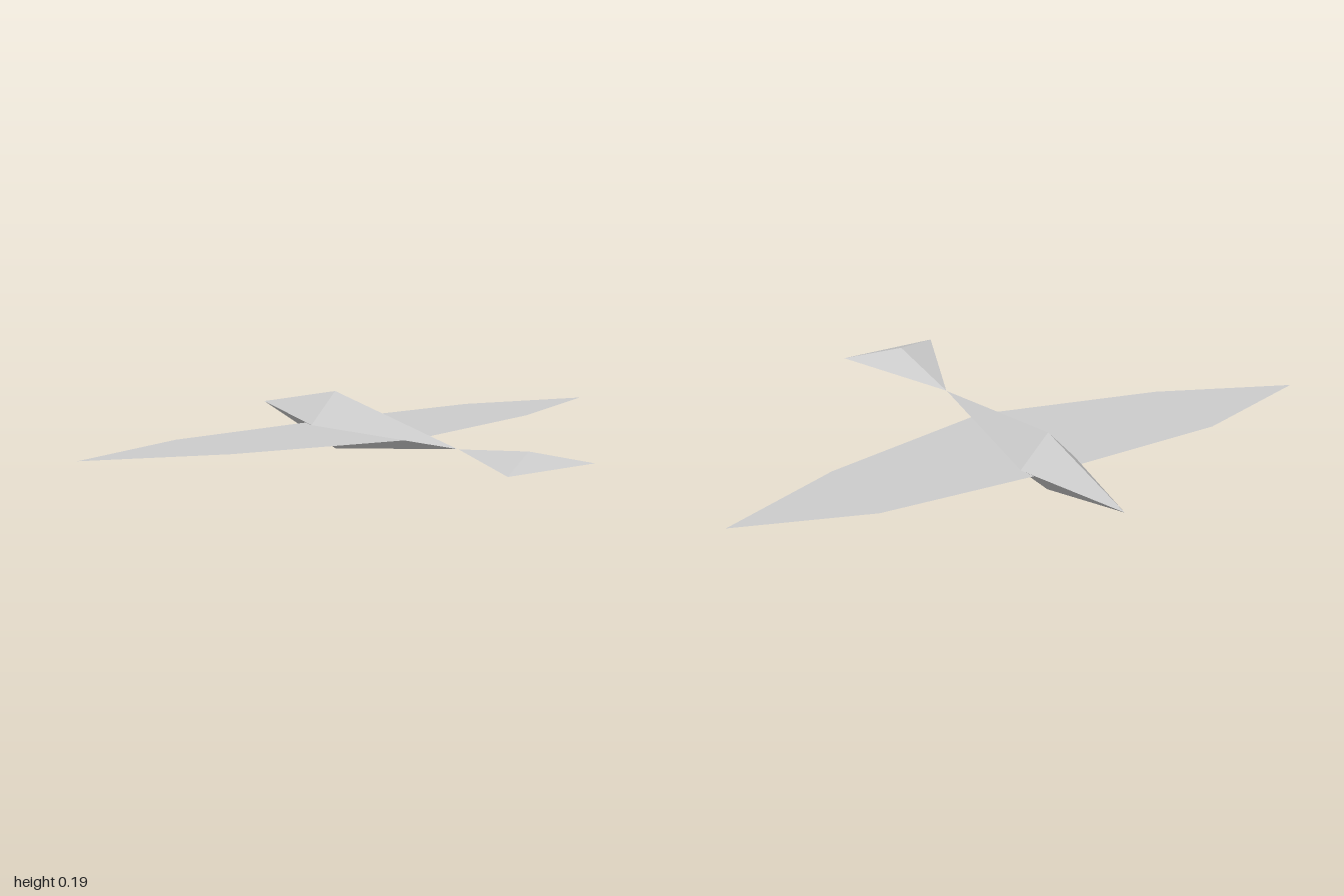
import * as THREE from 'three';

// Faceted solid: a ring of points joined to a tip on each side.
// The ring runs counter-clockwise as seen from tipA.
function doublePyramid(ring, tipA, tipB) {
  const pos = [];
  ring.forEach((p, i) => {
    const q = ring[(i + 1) % ring.length];
    pos.push(...p, ...q, ...tipA, ...q, ...p, ...tipB);
  });
  const geo = new THREE.BufferGeometry();
  geo.setAttribute('position', new THREE.Float32BufferAttribute(pos, 3));
  geo.computeVertexNormals();
  return geo;
}

export function createModel() {
  const model = new THREE.Group();
  model.name = 'bird';
  const grey = new THREE.MeshStandardMaterial({ color: 0xcccccc, flatShading: true, side: THREE.DoubleSide });
  grey.name = 'light grey';
  const add = (name, geo) => {
    const mesh = new THREE.Mesh(geo, grey);
    mesh.name = name;
    model.add(mesh);
  };
  const mid = 0.087; // height of the wing and tail plane

  // Body: a long diamond, widest near the head, pointing to -z
  const widest = -0.315;
  add('body', doublePyramid(
    [[0.095, mid, widest], [0, 0.19, widest], [-0.095, mid, widest], [0, 0, widest]],
    [0, mid, 0.31], [0, 0.106, -0.73]));

  // Wings: one flat sheet each, mirrored (outline in x, -z)
  for (const [name, s] of [['leftWing', 1], ['rightWing', -1]]) {
    const outline = [[0, -0.1], [0.585, 0.037], [1, 0.215], [0.585, 0.35], [0, 0.372]];
    const shape = new THREE.Shape(outline.map(([x, y]) => new THREE.Vector2(s * x, y)));
    add(name, new THREE.ShapeGeometry(shape).rotateX(-Math.PI / 2).translate(0, mid, 0));
  }

  // Tail: flat triangle below, raised to a ridge above
  add('tail', doublePyramid(
    [[0, mid, 0.315], [-0.167, mid, 0.73], [0.167, mid, 0.73]],
    [0, 0.126, 0.63], [0, mid, 0.6]));

  return model;
}
